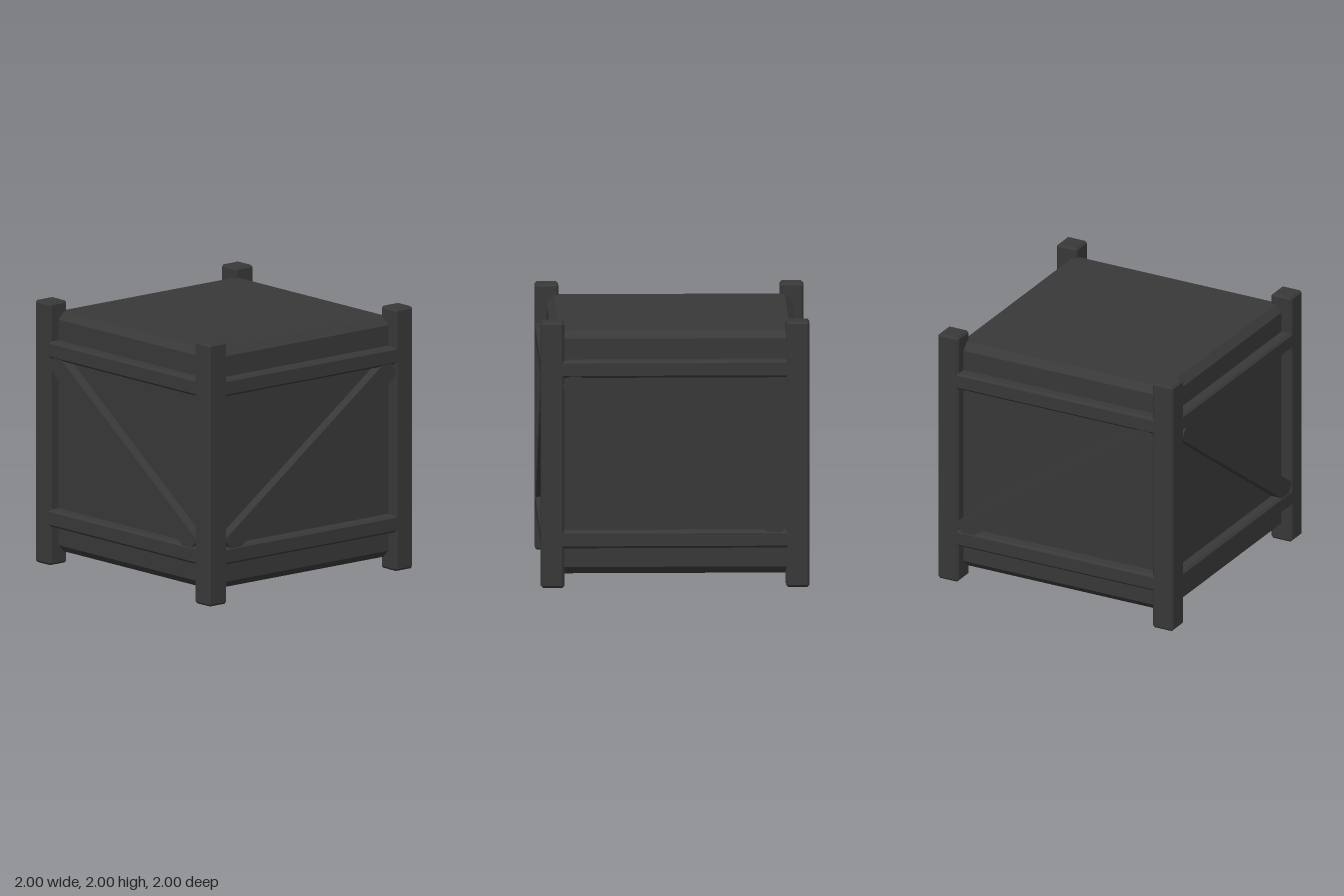
import * as THREE from 'three';
import { ConvexGeometry } from 'three/addons/geometries/ConvexGeometry.js';

// Box with every edge and corner chamfered by c
function chamferBox(w, h, d, c) {
  const points = [];
  for (const x of [-1, 1]) for (const y of [-1, 1]) for (const z of [-1, 1]) {
    const [a, b, e] = [w / 2, h / 2, d / 2];
    points.push(
      new THREE.Vector3(x * a, y * (b - c), z * (e - c)),
      new THREE.Vector3(x * (a - c), y * b, z * (e - c)),
      new THREE.Vector3(x * (a - c), y * (b - c), z * e)
    );
  }
  return new ConvexGeometry(points);
}

export function createModel() {
  const crate = new THREE.Group();
  crate.name = 'crate';
  const charcoal = new THREE.MeshStandardMaterial({ color: 0x383838 });
  charcoal.name = 'charcoal';

  const add = (parent, name, geometry, x, y, z) => {
    const mesh = new THREE.Mesh(geometry, charcoal);
    mesh.name = name;
    mesh.position.set(x, y, z);
    parent.add(mesh);
    return mesh;
  };

  // Inner box with broad chamfers
  add(crate, 'body', chamferBox(1.83, 1.83, 1.83, 0.055), 0, 1.005, 0);

  // Corner posts
  const postGeometry = chamferBox(0.175, 2, 0.175, 0.016);
  for (const x of [-1, 1]) for (const z of [-1, 1]) {
    add(crate, 'cornerPost', postGeometry, x * 0.9125, 1, z * 0.9125);
  }

  // Four identical sides, each with two rails and a diagonal brace
  const railGeometry = chamferBox(1.8, 0.13, 0.15, 0.017);
  const braceGeometry = new THREE.BoxGeometry(1.97, 0.15, 0.12);
  ['front', 'right', 'back', 'left'].forEach((label, i) => {
    const side = new THREE.Group();
    side.name = label + 'Frame';
    add(side, 'upperRail', railGeometry, 0, 1.645, 0.925);
    add(side, 'lowerRail', railGeometry, 0, 0.362, 0.925);
    const brace = add(side, 'diagonalBrace', braceGeometry, 0, 1, 0.935);
    // Neighbouring sides are mirrored so braces meet at the posts
    brace.rotation.z = (i % 2 ? 1 : -1) * 0.62;
    side.rotation.y = i * Math.PI / 2;
    crate.add(side);
  });

  return crate;
}
